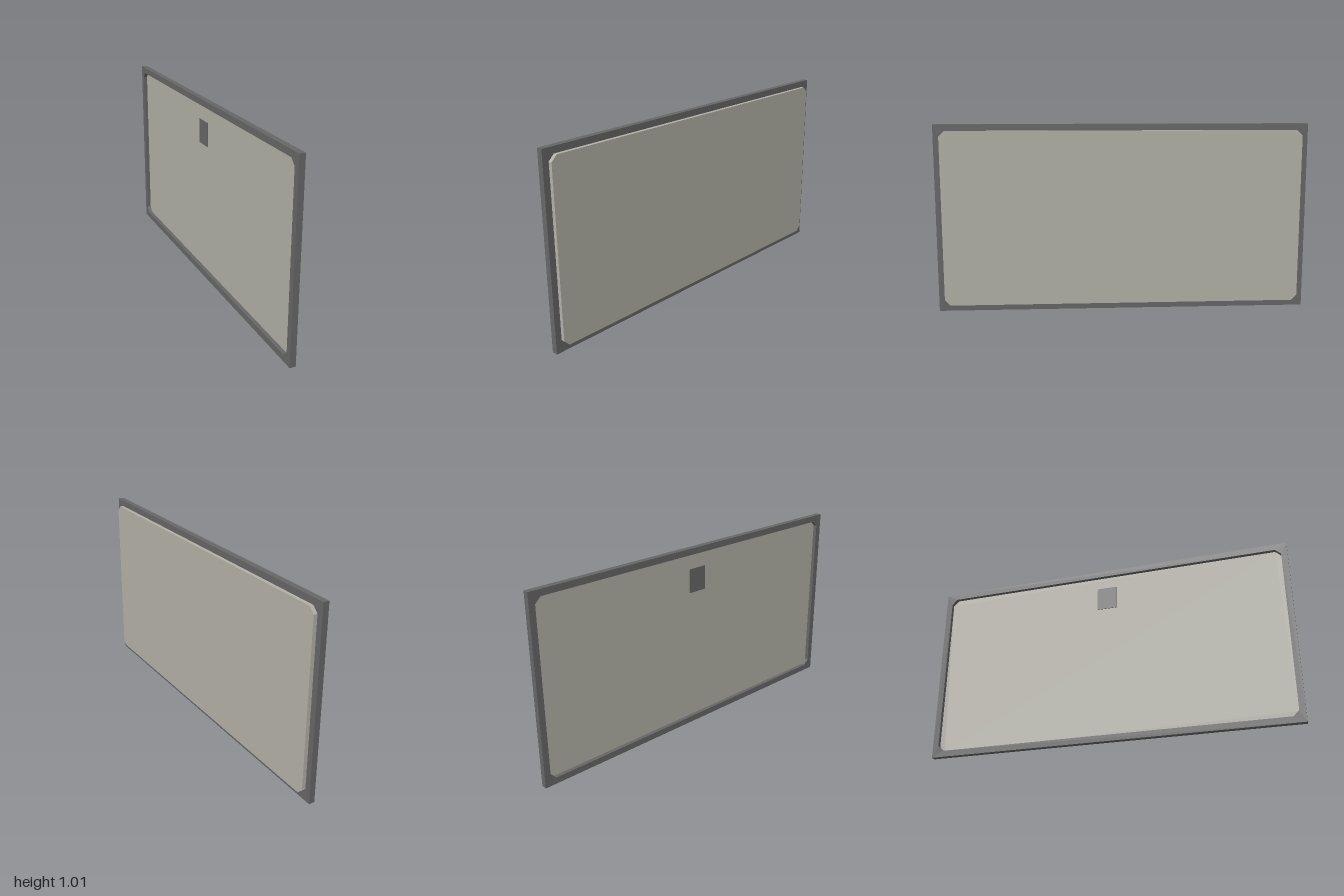
import * as THREE from 'three';

const HEIGHT = 1.01, BACK = -0.026, FACE = 0.005, FRONT = 0.025, FLOOR = -0.005;

// Rectangle outline with cut corners, centred on the origin
function chamferedPoints(halfW, halfH, cut) {
  return [
    [halfW, halfH - cut], [halfW - cut, halfH], [cut - halfW, halfH], [-halfW, halfH - cut],
    [-halfW, cut - halfH], [cut - halfW, -halfH], [halfW - cut, -halfH], [halfW, cut - halfH],
  ].map(([x, y]) => new THREE.Vector2(x, y));
}

// Upright slab facing +x, from x0 to x1
function slab(name, shape, x0, x1, material) {
  const geometry = new THREE.ExtrudeGeometry(shape, { depth: x1 - x0, bevelEnabled: false });
  geometry.rotateY(Math.PI / 2);
  geometry.translate(x0, HEIGHT / 2, 0);
  const mesh = new THREE.Mesh(geometry, material);
  mesh.name = name;
  return mesh;
}

export function createModel() {
  const group = new THREE.Group();
  group.name = 'wallPanel';
  const frameGrey = new THREE.MeshStandardMaterial({ color: 0x666666 });
  frameGrey.name = 'frameGrey';
  const panelBeige = new THREE.MeshStandardMaterial({ color: 0xb2b0a5 });
  panelBeige.name = 'panelBeige';

  const opening = chamferedPoints(0.967, 0.471, 0.03);

  // Dark surround with a cut-corner opening
  const h = HEIGHT / 2;
  const frame = new THREE.Shape([[-1, -h], [1, -h], [1, h], [-1, h]].map(([x, y]) => new THREE.Vector2(x, y)));
  frame.holes.push(new THREE.Path(opening));
  group.add(slab('frame', frame, BACK, FACE, frameGrey));

  // Panel raised from one face and recessed in the other
  group.add(slab('panel', new THREE.Shape(opening), FLOOR, FRONT, panelBeige));

  // Small plate at the top of the recessed side
  const plate = new THREE.Mesh(new THREE.BoxGeometry(0.003, 0.13, 0.108), frameGrey);
  plate.name = 'backPlate';
  plate.position.set(BACK + 0.0025, 0.835, 0);
  group.add(plate);

  return group;
}
